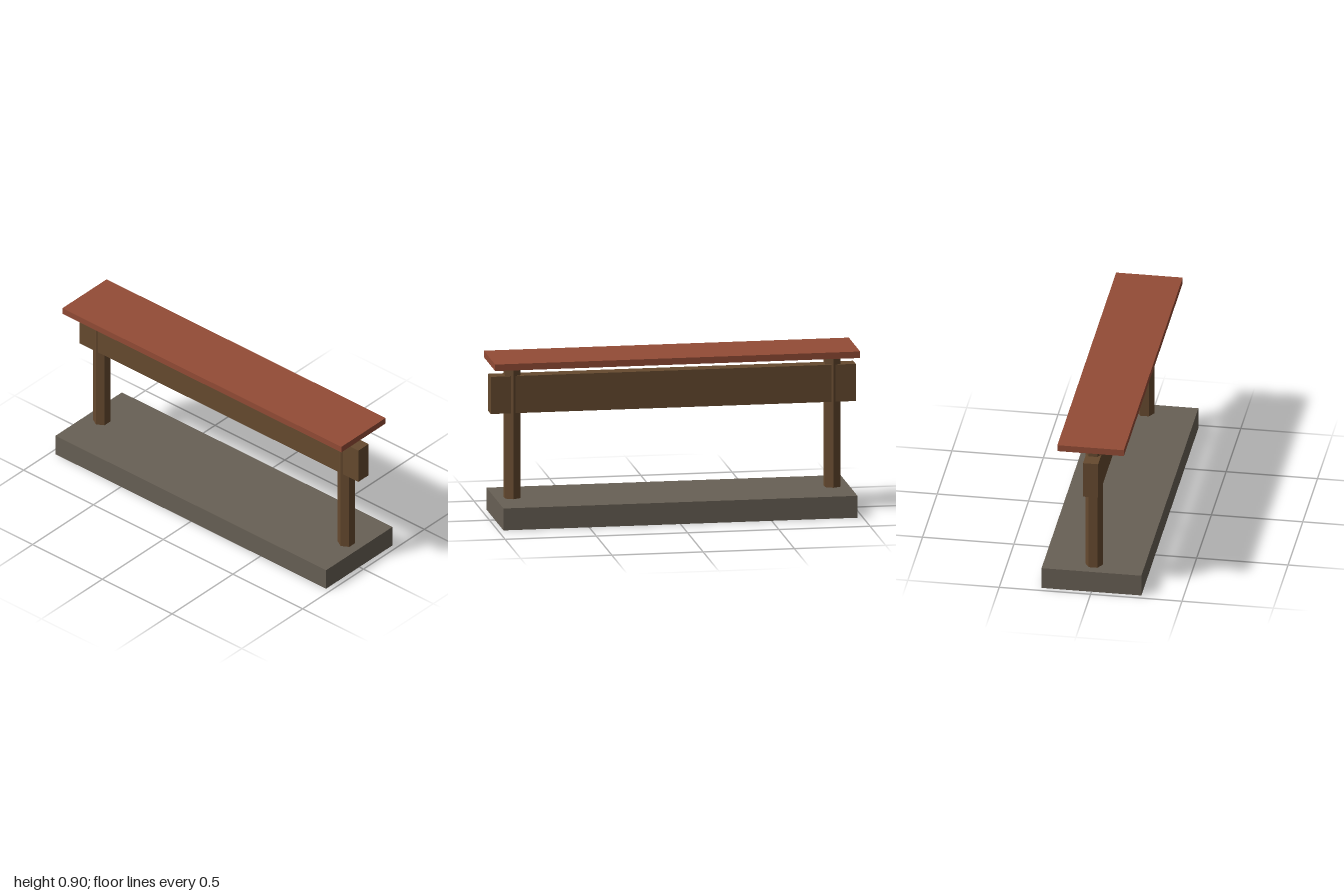
import * as THREE from 'three';

export function createModel() {
  const group = new THREE.Group();
  const material = (name, color) => {
    const m = new THREE.MeshStandardMaterial({ color });
    m.name = name;
    return m;
  };
  const stone = material('stone', 0x686055);
  const wood = material('wood', 0x664a2f);
  const clay = material('clay red', 0x934c36);
  wood.flatShading = true;

  const add = (name, geometry, mat, x, y) => {
    const mesh = new THREE.Mesh(geometry, mat);
    mesh.name = name;
    mesh.position.set(x, y, 0);
    group.add(mesh);
  };

  // Plinth, crossbeam and the roof board floating just above the posts
  add('base', new THREE.BoxGeometry(1.94, 0.121, 0.546), stone, 0, 0.0605);
  add('beam', new THREE.BoxGeometry(2, 0.205, 0.083), wood, 0, 0.6975);
  add('roof', new THREE.BoxGeometry(2, 0.036, 0.364), clay, 0, 0.88);

  // Six-sided posts, one corner facing forward
  for (const [name, side] of [['leftPost', 1], ['rightPost', -1]]) {
    add(name, new THREE.CylinderGeometry(0.048, 0.048, 0.729, 6), wood, side * 0.877, 0.4855);
  }
  return group;
}
